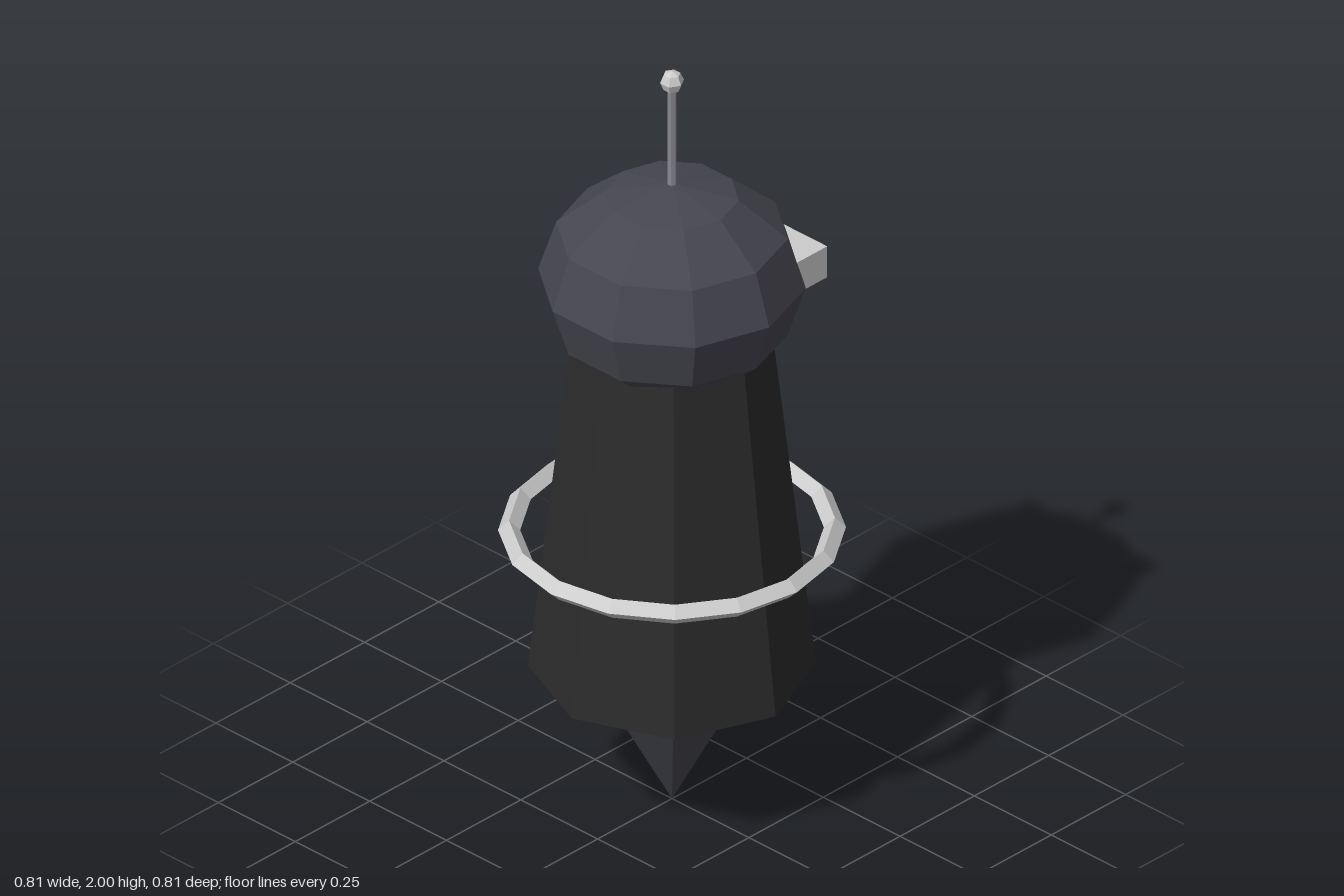
import * as THREE from 'three';

const material = (name, color) => {
  const m = new THREE.MeshStandardMaterial({ color, flatShading: true });
  m.name = name;
  return m;
};

export function createModel() {
  const model = new THREE.Group();
  model.name = 'hoveringRobot';

  const black = material('charcoal black', 0x2b2b2b);
  const slate = material('slate grey', 0x464650);
  const silver = material('pale silver', 0xcccccc);
  const steel = material('steel grey', 0x888890);

  const add = (name, geometry, mat, x, y, z) => {
    const mesh = new THREE.Mesh(geometry, mat);
    mesh.name = name;
    mesh.position.set(x, y, z);
    model.add(mesh);
    return mesh;
  };

  // Tapered octagonal body, its top tucked inside the head
  add('body', new THREE.CylinderGeometry(0.229, 0.337, 0.96, 8), black, 0, 0.85, 0);

  // Pointed tail, apex down
  add('tailCone', new THREE.CylinderGeometry(0.205, 0, 0.37, 8), slate, 0, 0.185, 0);

  // Slightly squashed head with a facet edge towards the front
  const head = new THREE.SphereGeometry(0.316, 10, 6).rotateY(Math.PI / 2).scale(1, 0.83, 1);
  add('head', head, slate, 0, 1.43, 0);

  // Visor bar on the left side of the head
  add('visor', new THREE.BoxGeometry(0.145, 0.085, 0.42), silver, 0.2325, 1.43, 0);

  // Floating ring with a diamond cross-section
  const ring = new THREE.TorusGeometry(0.381, 0.026, 4, 16).rotateX(Math.PI / 2);
  add('ring', ring, silver, 0, 0.742, 0);

  // Antenna and its tip
  add('antenna', new THREE.CylinderGeometry(0.011, 0.011, 0.31, 6), steel, 0, 1.815, 0);
  add('antennaTip', new THREE.SphereGeometry(0.029, 6, 4).rotateY(Math.PI / 2), silver, 0, 1.971, 0);

  return model;
}
